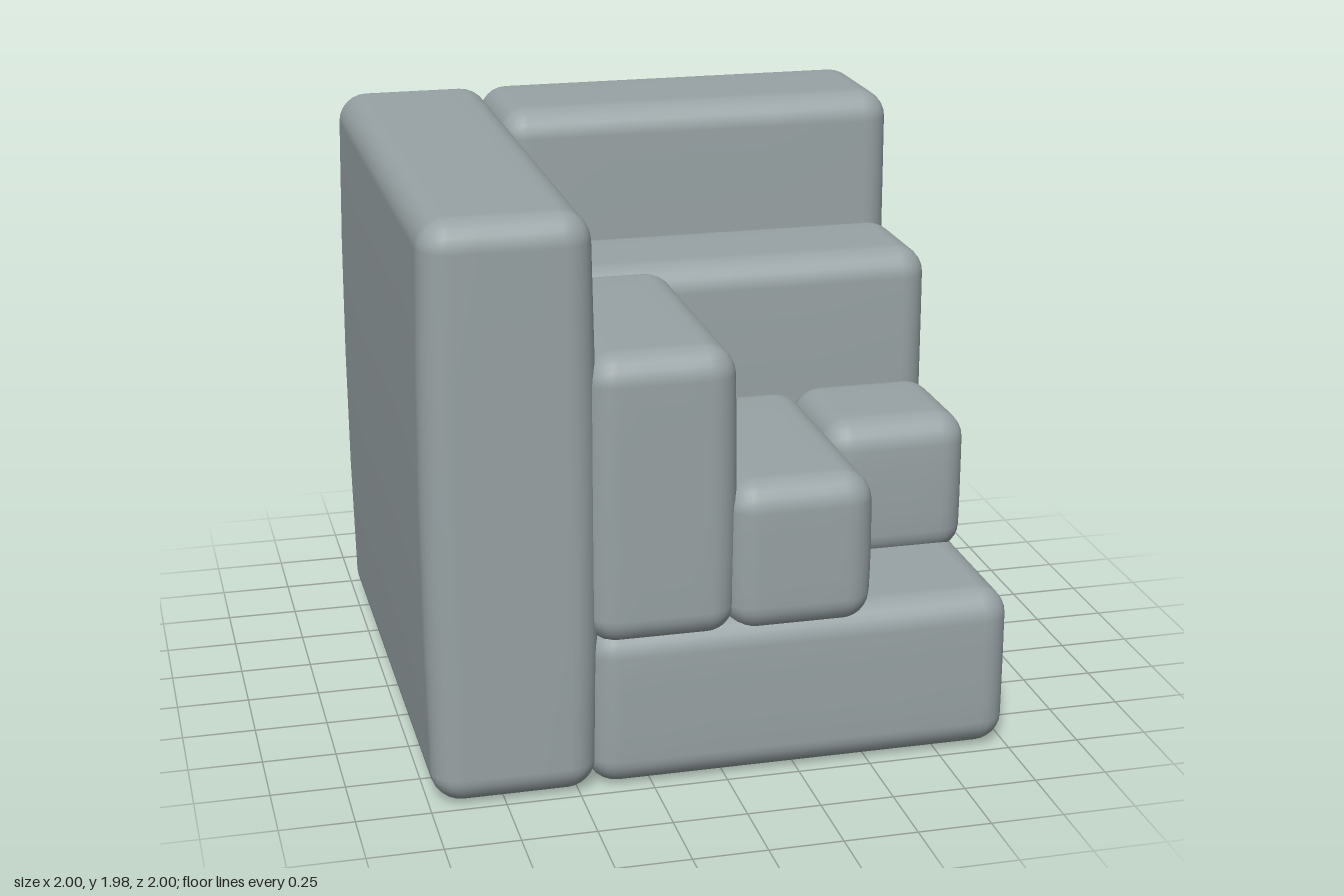
import * as THREE from 'three';
import { mergeVertices } from 'three/addons/utils/BufferGeometryUtils.js';

const RADIUS = 0.1;
const BEVEL = 3; // grid steps across each rounded edge
const FLAT = 4; // grid steps across each face
const STEPS = BEVEL * 2 + FLAT;

// Place a uniform grid coordinate (-0.5..0.5): dense in the bevel, even on the face
function spread(u, half) {
  const core = half - RADIUS;
  const step = Math.abs(u) * STEPS;
  const inner = FLAT / 2;
  const value = step <= inner
    ? core * step / inner
    : core + RADIUS * Math.tan((step - inner) / BEVEL * Math.PI / 4);
  return Math.sign(u) * value;
}

// Rounded block whose two broad sides swell slightly at mid height
function blockGeometry(size, axis, bulge) {
  const half = size.clone().multiplyScalar(0.5);
  half[axis] -= bulge;
  const core = half.clone().subScalar(RADIUS);
  const geometry = new THREE.BoxGeometry(1, 1, 1, STEPS, STEPS, STEPS);
  geometry.deleteAttribute('normal');
  geometry.deleteAttribute('uv');
  const pos = geometry.attributes.position;
  const p = new THREE.Vector3();
  const c = new THREE.Vector3();
  for (let i = 0; i < pos.count; i++) {
    p.fromBufferAttribute(pos, i);
    p.set(spread(p.x, half.x), spread(p.y, half.y), spread(p.z, half.z));
    c.copy(p).clamp(core.clone().negate(), core);
    p.sub(c).setLength(RADIUS).add(c);
    const t = p.y / half.y;
    p[axis] += bulge * (1 - t * t) * p[axis] / half[axis];
    pos.setXYZ(i, p.x, p.y, p.z);
  }
  const merged = mergeVertices(geometry, 1e-4);
  merged.computeVertexNormals();
  return merged;
}

export function createModel() {
  const group = new THREE.Group();
  group.name = 'blockSpiral';
  const grey = new THREE.MeshStandardMaterial({ color: 0x98a2a4 });
  grey.name = 'stone grey';

  // name, lowest corner, highest corner, swelling axis, swelling amount
  const blocks = [
    ['sideWall', [-1, 0, -0.98], [-0.42, 1.98, 1], 'x', 0.015],
    ['backWall', [-0.46, 0, -1], [1, 1.98, -0.42], 'z', 0.015],
    ['baseSlab', [-0.46, 0, -0.47], [1, 0.57, 0.99], 'z', 0.004],
    ['rearTallBlock', [-0.46, 0.52, -0.47], [1, 1.51, 0.05], 'z', 0.01],
    ['sideTallBlock', [-0.47, 0.51, 0.01], [0.045, 1.51, 1], 'x', 0.01],
    ['lowBlock', [0, 0.51, 0.04], [0.51, 1.04, 1], 'x', 0.008],
    ['smallCube', [0.48, 0.52, 0], [1, 1.04, 0.515], 'z', 0.008],
  ];
  for (const [name, low, high, axis, bulge] of blocks) {
    const box = new THREE.Box3(new THREE.Vector3(...low), new THREE.Vector3(...high));
    const mesh = new THREE.Mesh(blockGeometry(box.getSize(new THREE.Vector3()), axis, bulge), grey);
    box.getCenter(mesh.position);
    mesh.name = name;
    group.add(mesh);
  }
  return group;
}
